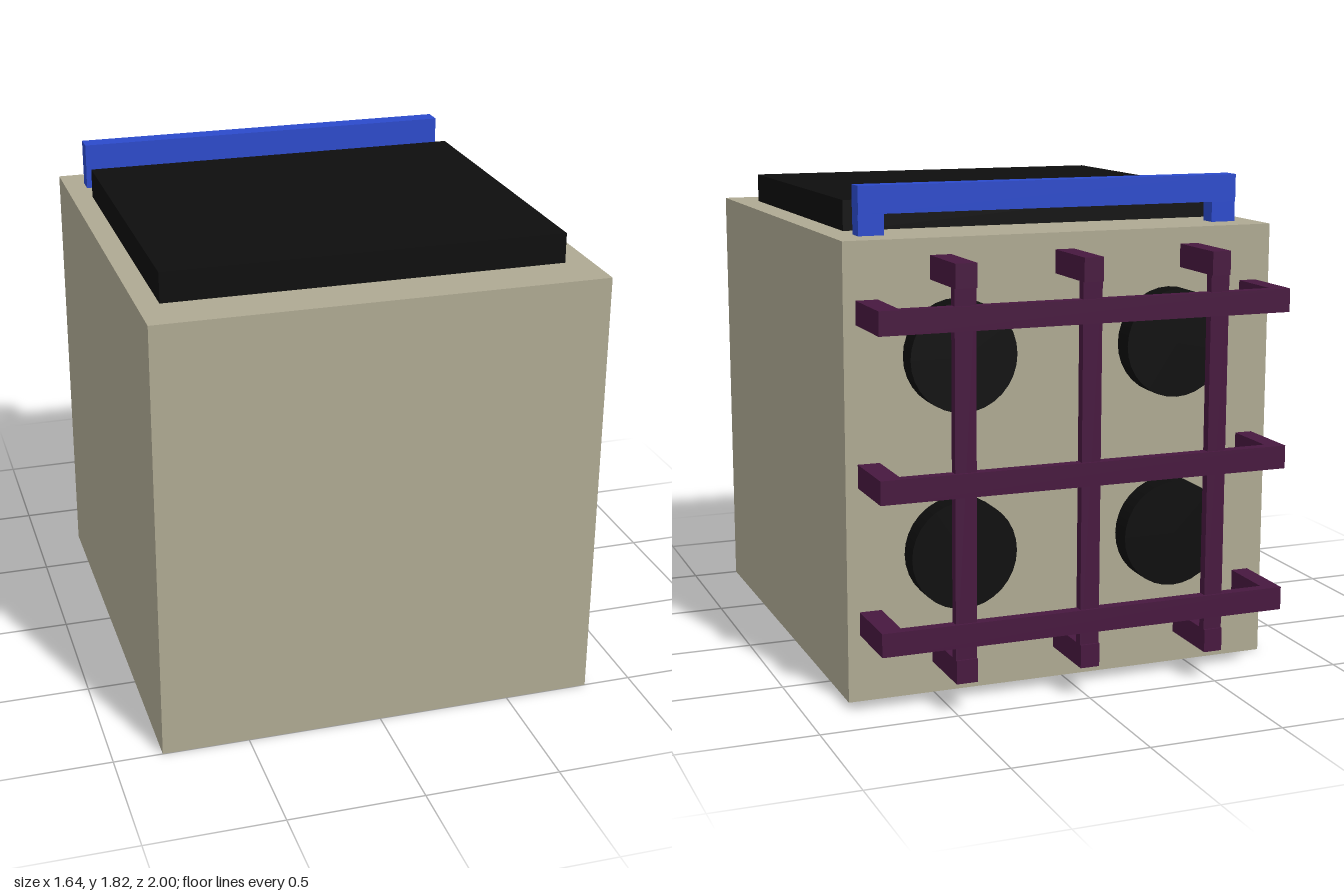
import * as THREE from 'three';

const mat = (color) => new THREE.MeshStandardMaterial({ color });

export function createModel() {
  const model = new THREE.Group();
  const beige = mat(0xaea992), black = mat(0x0d0d0d), blue = mat(0x2b4acb), purple = mat(0x47183f);

  // box given by its minimum and maximum corners
  const box = (parent, name, material, [x0, y0, z0], [x1, y1, z1]) => {
    const mesh = new THREE.Mesh(new THREE.BoxGeometry(x1 - x0, y1 - y0, z1 - z0), material);
    mesh.position.set((x0 + x1) / 2, (y0 + y1) / 2, (z0 + z1) / 2);
    mesh.name = name;
    parent.add(mesh);
  };
  const group = (name) => {
    const g = new THREE.Group();
    g.name = name;
    model.add(g);
    return g;
  };

  // body and top panel
  box(model, 'body', beige, [-0.82, 0, -0.74], [0.82, 1.645, 1]);
  box(model, 'topPanel', black, [-0.74, 1.645, -0.43], [0.725, 1.755, 0.81]);

  // handle: a bar on two short legs
  const handle = group('handle');
  box(handle, 'handleBar', blue, [-0.74, 1.72, -0.618], [0.725, 1.82, -0.545]);
  for (const x of [-0.74, 0.63]) {
    box(handle, 'handleLeg', blue, [x, 1.64, -0.615], [x + 0.095, 1.72, -0.548]);
  }

  // four round discs on the back
  const discs = group('backDiscs');
  for (const x of [-0.408, 0.41]) {
    for (const y of [0.525, 1.235]) {
      const disc = new THREE.Mesh(new THREE.CylinderGeometry(0.197, 0.197, 0.095, 32), black);
      disc.rotation.x = Math.PI / 2;
      disc.position.set(x, y, -0.7775);
      disc.name = 'backDisc';
      discs.add(disc);
    }
  }

  // guard grid: three rails each way, with arms back to the body
  const guard = group('guard');
  for (const y of [0.2875, 0.8225, 1.3975]) {
    box(guard, 'guardRail', purple, [-0.765, y - 0.0425, -1], [0.775, y + 0.0425, -0.96]);
    for (const [x0, x1] of [[-0.765, -0.7], [0.695, 0.775]]) {
      box(guard, 'guardRailArm', purple, [x0, y - 0.0425, -0.96], [x1, y + 0.0425, -0.735]);
    }
  }
  for (const [x0, x1] of [[-0.525, -0.455], [-0.036, 0.036], [0.427, 0.505]]) {
    box(guard, 'guardPost', purple, [x0, 0.115, -0.99], [x1, 1.585, -0.955]);
    for (const y of [0.115, 1.5]) {
      box(guard, 'guardPostArm', purple, [x0, y, -0.998], [x1, y + 0.085, -0.735]);
    }
  }
  return model;
}
